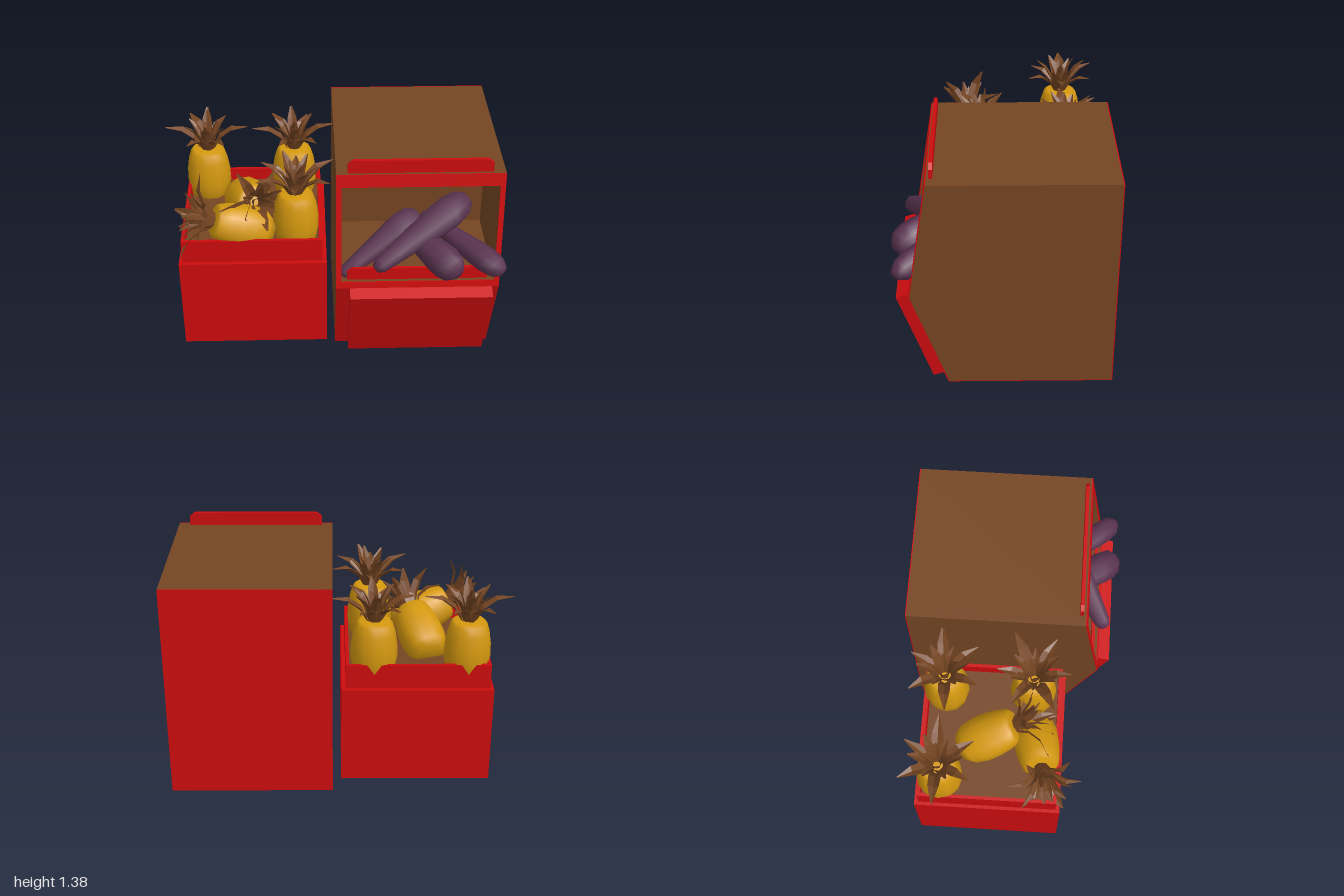
import * as THREE from 'three';

const mat = (name, color, side = THREE.FrontSide) => {
  const m = new THREE.MeshStandardMaterial({ color, side });
  m.name = name;
  return m;
};

export function createModel() {
  const red = mat('red paint', 0xcd0c0e);
  const brown = mat('brown wood', 0x754522, THREE.DoubleSide);
  const yellow = mat('fruit yellow', 0xd4980f);
  const purple = mat('aubergine purple', 0x5a3350);

  const model = new THREE.Group();
  model.name = 'produceStand';
  const group = (name, parent = model) => {
    const g = new THREE.Group();
    g.name = name;
    parent.add(g);
    return g;
  };
  const add = (parent, name, geo, material) => {
    const m = new THREE.Mesh(geo, material);
    m.name = name;
    parent.add(m);
    return m;
  };
  // box given by its low and high corners
  const box = (parent, name, material, [x0, y0, z0], [x1, y1, z1]) =>
    add(parent, name, new THREE.BoxGeometry(x1 - x0, y1 - y0, z1 - z0)
      .translate((x0 + x1) / 2, (y0 + y1) / 2, (z0 + z1) / 2), material);
  const shapeOf = pts => new THREE.Shape(pts.map(p => new THREE.Vector2(...p)));
  // side profile of (z, y) points swept from x0 to x1
  const prism = (parent, name, material, pts, x0, x1) =>
    add(parent, name, new THREE.ExtrudeGeometry(shapeOf(pts), { depth: x1 - x0, bevelEnabled: false })
      .rotateY(-Math.PI / 2).translate(x1, 0, 0), material);

  // ---- cabinet ----
  const cabinet = group('cabinet');
  const L = 0.03, R = 0.98, IL = 0.06, IR = 0.95;
  const zAt = y => 0.52 - (y - 0.59) * 0.155;   // sloping upper front
  const side = [[-0.615, 0.004], [0.31, 0.004], [0.515, 0.59], [zAt(1.3) - 0.005, 1.3], [-0.615, 1.3]];
  prism(cabinet, 'rightSide', brown, side, L, IL);
  prism(cabinet, 'leftSide', brown, side, IR, R);
  prism(cabinet, 'cabinetCore', brown, [
    [-0.615, 0.004], [0.31, 0.004], [0.515, 0.59], [zAt(0.63) - 0.005, 0.63], [-0.1, 0.63],
    [-0.1, 1.225], [zAt(1.225) - 0.005, 1.225], [zAt(1.3) - 0.005, 1.3], [-0.615, 1.3]], IL, IR);
  box(cabinet, 'backPlate', red, [L, 0, -0.62], [R, 1.3, -0.614]);
  box(cabinet, 'bottomPlate', red, [L, 0, -0.62], [R, 0.005, 0.312]);
  prism(cabinet, 'lowerFrontPlate', red, [[0.309, 0.003], [0.316, 0.003], [0.521, 0.59], [0.514, 0.59]], L, R);

  // red frame around the opening
  const strip = (name, y0, y1, x0, x1) => prism(cabinet, name, red,
    [[zAt(y0) - 0.006, y0], [zAt(y0) + 0.001, y0], [zAt(y1) + 0.001, y1], [zAt(y1) - 0.006, y1]], x0, x1);
  strip('frameBottomRail', 0.59, 0.63, L, R);
  strip('frameTopRail', 1.225, 1.3, L, R);
  strip('frameRightStile', 0.63, 1.225, L, IL);
  strip('frameLeftStile', 0.63, 1.225, IR, R);

  // raised sloping panel
  prism(cabinet, 'frontPanel', red, [[0.4, 0.015], [0.592, 0.565], [0.521, 0.59], [0.33, 0.038]], 0.11, 0.94);

  // chamfered boards: header on top and lip in the opening
  const board = (name, y, z) => add(cabinet, name, new THREE.ExtrudeGeometry(shapeOf(
    [[0.095, 0], [0.91, 0], [0.91, 0.055], [0.88, 0.08], [0.125, 0.08], [0.095, 0.055]]),
    { depth: 0.02, bevelEnabled: false }).translate(0, y, z), red);
  board('headerBoard', 1.3, 0.37);
  board('trayLip', 0.628, 0.47);

  // ---- crate ----
  const crate = group('crate');
  box(crate, 'crateBase', red, [-0.9, 0.03, -0.54], [-0.02, 0.63, 0.325]);
  const [cx0, cx1, cz0, cz1, t] = [-0.88, -0.045, -0.515, 0.3, 0.02];
  box(crate, 'rimFront', red, [cx0, 0.63, cz1 - t], [cx1, 0.78, cz1]);
  box(crate, 'rimBack', red, [cx0, 0.63, cz0], [cx1, 0.78, cz0 + t]);
  box(crate, 'rimRight', red, [cx0, 0.63, cz0 + t], [cx0 + t, 0.78, cz1 - t]);
  box(crate, 'rimLeft', red, [cx1 - t, 0.63, cz0 + t], [cx1, 0.78, cz1 - t]);
  box(crate, 'crateFloor', brown, [cx0 + t, 0.63, cz0 + t], [cx1 - t, 0.7, cz1 - t]);

  const lathe = (pts, sides) => new THREE.LatheGeometry(pts.map(p => new THREE.Vector2(...p)), sides);
  // stand an object at a, with its own y axis pointing to b
  const aim = (obj, a, b) => {
    const from = new THREE.Vector3(...a), dir = new THREE.Vector3(...b).sub(from).normalize();
    obj.position.copy(from);
    obj.quaternion.setFromUnitVectors(new THREE.Vector3(0, 1, 0), dir);
  };

  // ---- pineapples ----
  const fruitGeo = lathe([[0, 0], [0.09, 0], [0.122, 0.05], [0.136, 0.13], [0.134, 0.21],
    [0.122, 0.29], [0.105, 0.345], [0.085, 0.36], [0, 0.362]], 12);
  // folded leaf: rows of [distance out, height, half width]
  const leaf = rows => {
    const pos = [], idx = [];
    rows.forEach(([out, h, w], i) => {
      pos.push(out, h, -w, out + w * 0.25, h - w * 0.4, 0, out, h, w);
      if (i) for (let k = 0; k < 2; k++) {
        const a = (i - 1) * 3 + k, b = a + 3;
        idx.push(a, a + 1, b, a + 1, b + 1, b);
      }
    });
    const g = new THREE.BufferGeometry();
    g.setAttribute('position', new THREE.Float32BufferAttribute(pos, 3));
    g.setIndex(idx);
    const flat = g.toNonIndexed();
    flat.computeVertexNormals();
    return flat;
  };
  const whorls = [
    { n: 6, geo: leaf([[0.03, 0, 0.025], [0.075, 0.09, 0.036], [0.15, 0.145, 0.032], [0.255, 0.155, 0.004]]) },
    { n: 6, geo: leaf([[0.025, 0, 0.022], [0.05, 0.1, 0.032], [0.09, 0.165, 0.028], [0.15, 0.215, 0.006]]) },
    { n: 4, geo: leaf([[0.015, 0, 0.02], [0.025, 0.1, 0.028], [0.045, 0.17, 0.024], [0.08, 0.23, 0.006]]) },
  ];
  const pineapples = group('pineapples');
  const pineapple = (a, b, turn) => {
    const p = group('pineapple', pineapples);
    add(p, 'fruitBody', fruitGeo, yellow);
    const crown = group('leafCrown', p);
    crown.position.y = 0.35;
    whorls.forEach(({ n, geo }, w) => {
      for (let i = 0; i < n; i++) {
        const m = add(crown, 'leaf', geo, brown);
        m.rotation.y = turn + (i + w * 0.5) * Math.PI * 2 / n;
        m.scale.setScalar(1 - 0.08 * ((i * 2 + w) % 3));
      }
    });
    aim(p, a, b);
  };
  const upright = (x, z, turn) => pineapple([x, 0.65, z], [x, 1, z], turn);
  upright(-0.75, -0.39, Math.PI);
  upright(-0.21, -0.39, 0.1);
  upright(-0.2, 0.13, 0.5);
  pineapple([-0.55, 0.72, -0.27], [-0.45, 0.87, 0.02], 0.3);
  pineapple([-0.36, 0.73, 0.13], [-0.68, 0.86, 0.2], 0.6);

  // ---- aubergines, tapering from the thin end to the fat end ----
  const aubergines = group('aubergines');
  const taper = [[0, 0], [0.3, 0.01], [0.5, 0.06], [0.62, 0.22], [0.78, 0.45], [0.97, 0.68],
    [1, 0.8], [0.85, 0.92], [0.45, 0.99], [0, 1]];
  [
    [[0.25, 0.75, 0.55], [0.81, 1.0, 0.2], 0.1],
    [[0.06, 0.64, 0.46], [0.52, 0.9, 0.2], 0.085],
    [[0.38, 0.86, 0.2], [0.73, 0.745, 0.6], 0.098],
    [[0.55, 0.86, 0.15], [0.985, 0.745, 0.59], 0.075],
  ].forEach(([a, b, r]) => {
    const len = new THREE.Vector3(...a).distanceTo(new THREE.Vector3(...b));
    aim(add(aubergines, 'aubergine', lathe(taper.map(([q, s]) => [q * r, s * len]), 8), purple), a, b);
  });

  return model;
}
